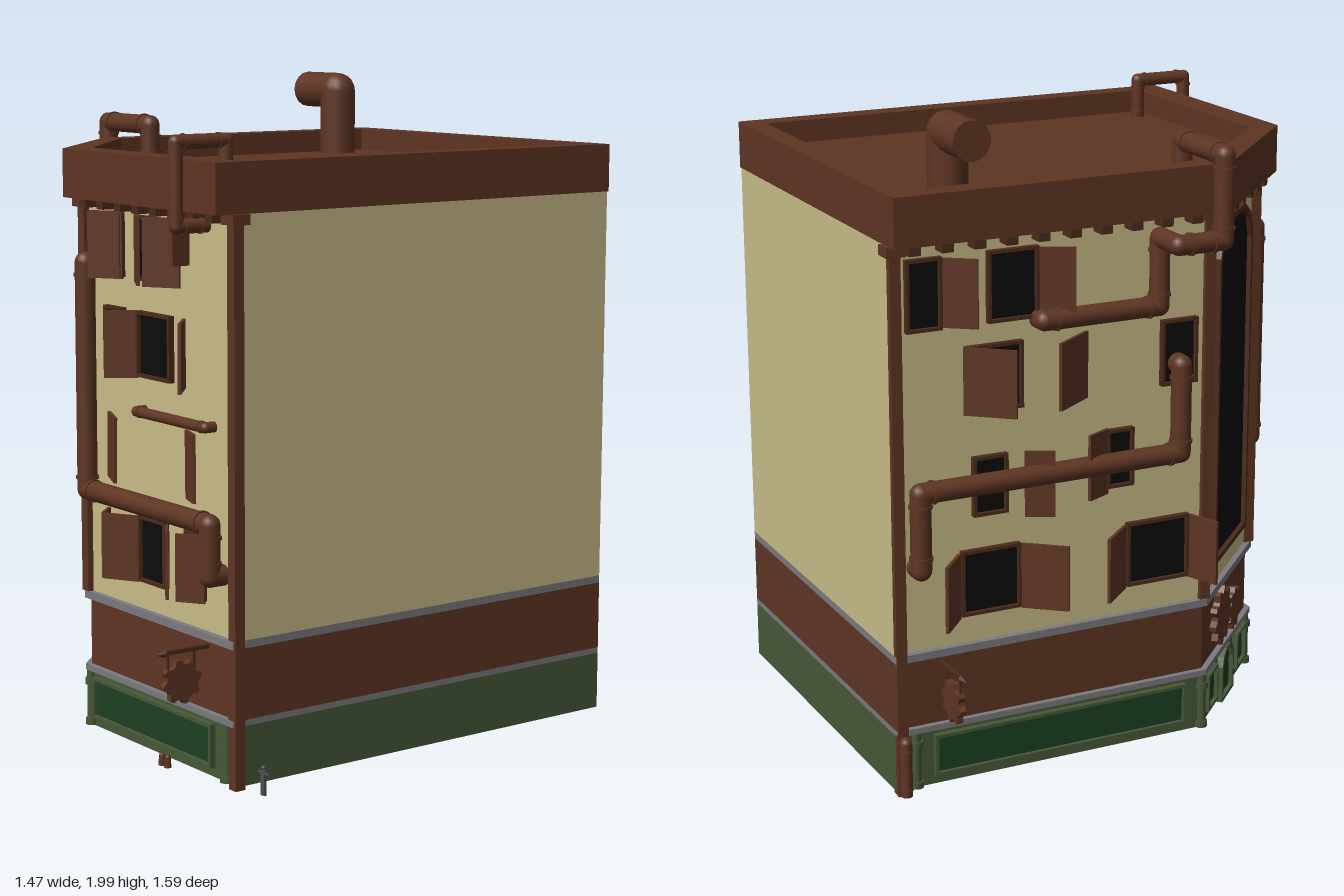
import * as THREE from 'three';

const mat = (name, color, side = THREE.FrontSide) => new THREE.MeshStandardMaterial({ name, color, side });
const both = THREE.DoubleSide;
const M = {
  plaster: mat('plaster', 0xc8bc88, both), brown: mat('brown', 0x5e3523, both), wood: mat('dark wood', 0x4c2a1b),
  green: mat('green paint', 0x475838, both), deep: mat('deep green', 0x1c4022), grey: mat('grey stone', 0x7b7b80, both),
  black: mat('black glass', 0x0c0c0c), steel: mat('steel', 0x4c5152),
};
const add = (parent, name, geo, m, x = 0, y = 0, z = 0) => {
  const mesh = new THREE.Mesh(geo, m);
  mesh.name = name;
  mesh.position.set(x, y, z);
  parent.add(mesh);
  return mesh;
};
const box = (p, name, m, x, y, z, w, h, d) => add(p, name, new THREE.BoxGeometry(w, h, d), m, x, y, z);

// Floor plan with a cut corner; o pushes the three street sides out, s pulls the plain sides in
const plan = (o = 0, s = 0) => [[0.605 - s, -0.785 + s], [0.605 - s, 0.61 + o], [-0.18 - 0.41 * o, 0.61 + o],
  [-0.555 - o, 0.235 + 0.41 * o], [-0.555 - o, -0.785 + s]];
const toShape = (pts) => new THREE.Shape(pts.map(([x, z]) => new THREE.Vector2(x, -z)));

// Open strip of wall following the plan
function wall(p, name, m, y0, y1) {
  const v = [], c = plan();
  c.forEach(([ax, az], i) => {
    const [bx, bz] = c[(i + 1) % c.length];
    v.push(ax, y0, az, bx, y1, bz, bx, y0, bz, ax, y0, az, ax, y1, az, bx, y1, bz);
  });
  const g = new THREE.BufferGeometry();
  g.setAttribute('position', new THREE.Float32BufferAttribute(v, 3));
  g.computeVertexNormals();
  add(p, name, g, m);
}

// Solid ring between two plans
function ring(p, name, m, outer, inner, y0, y1) {
  const s = toShape(outer);
  s.holes.push(toShape(inner));
  const g = new THREE.ExtrudeGeometry(s, { depth: y1 - y0, bevelEnabled: false });
  add(p, name, g.rotateX(-Math.PI / 2), m, 0, y0, 0);
}

// Pipe along points, with round elbows and collars
function pipe(p, name, r, pts) {
  const g = new THREE.Group();
  g.name = name;
  p.add(g);
  const P = pts.map((a) => new THREE.Vector3(...a)), up = new THREE.Vector3(0, 1, 0);
  const rod = (a, b, rad, part) => {
    const d = b.clone().sub(a), mid = a.clone().add(b).multiplyScalar(0.5);
    add(g, part, new THREE.CylinderGeometry(rad, rad, d.length(), 16), M.brown, mid.x, mid.y, mid.z)
      .quaternion.setFromUnitVectors(up, d.normalize());
  };
  for (let i = 0; i < P.length - 1; i++) {
    rod(P[i], P[i + 1], r, 'pipeRun');
    const d = P[i + 1].clone().sub(P[i]), len = d.length();
    d.normalize();
    if (len > 4 * r) for (const t of [r * 1.2, len - r * 1.2]) {
      rod(P[i].clone().addScaledVector(d, t - r * 0.15), P[i].clone().addScaledVector(d, t + r * 0.15), r * 1.13, 'pipeCollar');
    }
    if (i) add(g, 'pipeElbow', new THREE.SphereGeometry(r, 16, 10), M.brown, P[i].x, P[i].y, P[i].z);
  }
}

// Rectangular frame and pane set in a facade
function pane(p, name, u0, u1, v0, v1, m = M.black, frame = M.wood, t = 0.01) {
  const u = (u0 + u1) / 2, v = (v0 + v1) / 2;
  box(p, name, m, u, v, 0.004, u1 - u0, v1 - v0, 0.006);
  for (const s of [u0, u1]) box(p, name + 'Jamb', frame, s, v, 0.004, t, v1 - v0 + t, 0.03);
  for (const s of [v0, v1]) box(p, name + 'Rail', frame, u, s, 0.004, u1 - u0, t, 0.03);
}

// Open shutter from its hinge; du is its width along the wall, depth how far it swings out
function shutter(p, [u, du, v, h, depth, roll = 0]) {
  const hinge = new THREE.Group();
  hinge.name = 'shutter';
  hinge.position.set(u, v, 0.01);
  hinge.rotation.set(0, -Math.atan2(depth, du), roll);
  const w = Math.hypot(du, depth);
  box(hinge, 'shutterBoard', M.brown, w / 2, 0, 0, w, h, 0.01);
  p.add(hinge);
}

function gear(p, name, r, teeth, x, y, z, depth) {
  const s = new THREE.Shape();
  for (let i = 0; i < teeth * 4; i++) {
    const a = ((i + 0.5) / (teeth * 4)) * Math.PI * 2, q = i % 4 < 2 ? r : r * 0.8;
    s[i ? 'lineTo' : 'moveTo'](Math.cos(a) * q, Math.sin(a) * q);
  }
  return add(p, name, new THREE.ExtrudeGeometry(s, { depth, bevelEnabled: false }).translate(0, 0, -depth / 2), M.brown, x, y, z);
}

// Hanging gear sign on a spiked bracket
function sign(p, u) {
  const g = new THREE.Group();
  g.name = 'hangingSign';
  g.position.set(u, 0, 0);
  p.add(g);
  box(g, 'signBracket', M.wood, 0, 0.395, 0.08, 0.012, 0.012, 0.16);
  add(g, 'bracketTip', new THREE.ConeGeometry(0.012, 0.035, 8).rotateX(Math.PI / 2), M.wood, 0, 0.395, 0.168);
  for (const w of [0.05, 0.14]) box(g, 'signChain', M.wood, 0, 0.365, w, 0.006, 0.06, 0.006);
  gear(g, 'signGear', 0.066, 8, 0, 0.305, 0.095, 0.02).rotation.y = Math.PI / 2;
}

function facade(p, name, x, z, turn, u0, u1) {
  const g = new THREE.Group();
  g.name = name;
  g.position.set(x, 0, z);
  g.rotation.y = turn;
  p.add(g);
  const n = Math.round((u1 - u0) / 0.095);
  for (let i = 0; i <= n; i++) box(g, 'corbel', M.wood, u0 + ((u1 - u0) * i) / n, 1.637, 0.025, 0.035, 0.028, 0.05);
  return g;
}

const archShape = (w, y0, y1, c) => new THREE.Shape([[-w, y0], [w, y0], [w, y1 - c * 1.1], [w - c * 0.28, y1 - c * 0.42],
  [w - c, y1], [c - w, y1], [c * 0.28 - w, y1 - c * 0.42], [-w, y1 - c * 1.1]].map((a) => new THREE.Vector2(...a)));
function arch(p, name, w, y0, y1, c, t, m, frame) {
  const s = archShape(w, y0, y1, c);
  s.holes.push(archShape(w - t, y0 + t, y1 - t, c - t * 0.4));
  add(p, name + 'Frame', new THREE.ExtrudeGeometry(s, { depth: 0.03, bevelEnabled: false }), frame, 0, 0, -0.01);
  add(p, name, new THREE.ShapeGeometry(archShape(w - t / 2, y0 + t / 2, y1 - t / 2, c)), m, 0, 0, 0.006);
}

export function createModel() {
  const root = new THREE.Group();
  root.name = 'cornerBuilding';

  // Walls, ledges and roof
  wall(root, 'shopWall', M.green, 0.01, 0.187);
  wall(root, 'brownBand', M.brown, 0.205, 0.415);
  wall(root, 'upperWall', M.plaster, 0.438, 1.66);
  ring(root, 'lowerLedge', M.grey, plan(0.018), plan(-0.006, 0.006), 0.187, 0.205);
  ring(root, 'upperLedge', M.grey, plan(0.018), plan(-0.006, 0.006), 0.415, 0.438);
  const rim = [[0.61, -0.787], [0.61, 0.685], [-0.19, 0.685], [-0.615, 0.27], [-0.615, -0.787]];
  const well = [[0.54, -0.72], [0.54, 0.59], [-0.175, 0.59], [-0.54, 0.255], [-0.54, -0.72]];
  ring(root, 'parapet', M.brown, rim, well, 1.65, 1.795);
  add(root, 'roofDeck', new THREE.ShapeGeometry(toShape(well)).rotateX(-Math.PI / 2), M.brown, 0, 1.725, 0);

  // Corner posts
  for (const [x, z, y0, t] of [[0.594, 0.607, 0, 0.034], [-0.182, 0.612, 0.438, 0.034], [-0.553, 0.236, 0.438, 0.034], [-0.558, -0.768, 0, 0.034]]) {
    box(root, 'cornerPost', M.brown, x, (y0 + 1.65) / 2, z, t, 1.65 - y0, t);
    box(root, 'postCap', M.brown, x, 1.635, z, t + 0.025, 0.03, t + 0.025);
  }
  for (const [x, z] of [[-0.18, 0.612], [-0.555, 0.238], [0.55, 0.612], [-0.557, -0.72]]) {
    add(root, 'shopPilaster', new THREE.CylinderGeometry(0.014, 0.014, 0.175, 10), M.green, x, 0.098, z);
    for (const y of [0.022, 0.15]) add(root, 'pilasterRing', new THREE.CylinderGeometry(0.02, 0.02, 0.02, 10), M.green, x, y, z);
  }
  pipe(root, 'drainPipe', 0.018, [[-0.585, 0.005, -0.765], [-0.585, 0.17, -0.765], [-0.555, 0.17, -0.765]]);

  // Front facade
  const front = facade(root, 'frontFacade', 0, 0.61, 0, -0.12, 0.54);
  for (const [a, b, c, d] of [[-0.05, 0.028, 1.43, 1.61], [0.12, 0.32, 1.43, 1.61], [-0.058, 0.033, 1.145, 1.33],
    [0.12, 0.285, 1.145, 1.33], [0.12, 0.252, 0.53, 0.72], [0.365, 0.445, 0.53, 0.72]]) pane(front, 'window', a, b, c, d);
  [[0.035, -0.095, 1.52, 0.2, 0.06], [0.105, 0.105, 1.52, 0.2, 0.06], [0.335, -0.1, 1.52, 0.2, 0.06], [0.38, 0.005, 1.57, 0.16, 0.06],
    [0.115, -0.062, 1.235, 0.2, 0.08], [0.355, 0.095, 1.235, 0.2, 0.08], [-0.05, 0.09, 0.915, 0.2, 0.035, -0.06],
    [0.365, 0.09, 0.915, 0.2, 0.035, 0.02], [-0.055, 0.06, 0.62, 0.2, 0.06], [0.11, -0.105, 0.62, 0.2, 0.06],
    [0.255, 0.095, 0.62, 0.2, 0.06], [0.455, -0.075, 0.62, 0.2, 0.05]].forEach((a) => shutter(front, a));
  pipe(front, 'wallPipe', 0.031, [[-0.115, 1.46, 0], [-0.115, 1.46, 0.048], [-0.115, 0.77, 0.048], [0.535, 0.77, 0.048], [0.535, 0.62, 0.048], [0.535, 0.62, 0]]);
  pipe(front, 'thinPipe', 0.016, [[0.135, 1.04, 0], [0.135, 1.04, 0.03], [0.49, 1.04, 0.03], [0.49, 1.04, 0]]);
  pane(front, 'shopWindow', -0.145, 0.485, 0.045, 0.165, M.deep, M.green);
  sign(front, 0.455);

  // Left facade, measured along z
  const left = facade(root, 'leftFacade', -0.555, 0, -Math.PI / 2, -0.72, 0.17);
  for (const [a, b, c, d] of [[-0.73, -0.63, 1.4, 1.6], [-0.48, -0.33, 1.4, 1.6], [-0.55, -0.38, 1.14, 1.33], [0.08, 0.19, 1.14, 1.33],
    [-0.53, -0.43, 0.83, 1.0], [-0.1, -0.02, 0.85, 1.02], [-0.57, -0.39, 0.53, 0.72], [-0.03, 0.17, 0.53, 0.72]]) pane(left, 'window', a, b, c, d);
  [[-0.62, 0.08, 1.5, 0.2, 0.06], [-0.33, 0.1, 1.5, 0.2, 0.05], [-0.56, 0.12, 1.235, 0.2, 0.1], [-0.17, -0.13, 1.235, 0.2, 0.09],
    [-0.37, 0.08, 0.9, 0.2, 0.04], [-0.1, -0.08, 0.93, 0.2, 0.04], [-0.58, -0.08, 0.62, 0.2, 0.09], [-0.38, 0.11, 0.62, 0.2, 0.09],
    [-0.04, -0.1, 0.62, 0.2, 0.09], [0.18, 0.04, 0.62, 0.2, 0.1]].forEach((a) => shutter(left, a));
  pipe(left, 'wallPipe', 0.031, [[0.13, 1.2, 0], [0.13, 1.2, 0.036], [0.13, 0.93, 0.036], [-0.71, 0.93, 0.036], [-0.71, 0.7, 0.036], [-0.71, 0.7, 0]]);
  pane(left, 'shopWindow', -0.66, 0.17, 0.045, 0.165, M.deep, M.green);
  sign(left, -0.64);

  // Cut corner with tall window, gears and door
  const corner = facade(root, 'cornerFacade', -0.3675, 0.4225, -Math.PI / 4, -0.22, 0.22);
  arch(corner, 'tallWindow', 0.192, 0.515, 1.592, 0.1, 0.017, M.black, M.wood);
  arch(corner, 'door', 0.07, 0.01, 0.178, 0.045, 0.012, M.deep, M.green);
  for (const s of [-1, 1]) pane(corner, 'doorSidePanel', s < 0 ? -0.225 : 0.125, s < 0 ? -0.125 : 0.225, 0.05, 0.16, M.deep, M.green);
  gear(corner, 'largeGear', 0.095, 10, -0.075, 0.31, 0.006, 0.03);
  gear(corner, 'smallGear', 0.07, 9, 0.072, 0.28, 0.006, 0.03);

  // Roof pipes and chimney
  pipe(root, 'leftRoofPipe', 0.03, [[-0.46, 1.72, 0.195], [-0.46, 1.84, 0.195], [-0.707, 1.84, 0.195], [-0.707, 1.593, 0.195],
    [-0.707, 1.593, 0.05], [-0.595, 1.593, 0.05], [-0.595, 1.39, 0.05], [-0.595, 1.39, -0.32], [-0.555, 1.39, -0.32]]);
  pipe(root, 'frontRoofPipe', 0.021, [[0.46, 1.72, 0.545], [0.46, 1.845, 0.545], [0.46, 1.845, 0.715], [0.46, 1.61, 0.715], [0.46, 1.61, 0.61]]);
  pipe(root, 'chimney', 0.058, [[-0.46, 1.72, -0.555], [-0.46, 1.932, -0.555], [-0.625, 1.932, -0.555]]);

  // Street bollards and a standing person
  for (const x of [0.285, 0.315]) {
    add(root, 'bollard', new THREE.CylinderGeometry(0.009, 0.011, 0.03, 10), M.brown, x, 0.02, 0.66);
    add(root, 'bollardTop', new THREE.SphereGeometry(0.009, 10, 6), M.brown, x, 0.035, 0.66);
  }
  const person = new THREE.Group();
  person.name = 'person';
  person.position.set(0.706, 0.01, 0.595);
  root.add(person);
  add(person, 'head', new THREE.SphereGeometry(0.007, 10, 8), M.steel, 0, 0.081, 0);
  box(person, 'torso', M.steel, 0, 0.056, 0, 0.016, 0.034, 0.009);
  box(person, 'arms', M.steel, 0, 0.066, 0, 0.05, 0.006, 0.006);
  for (const s of [-1, 1]) box(person, 'leg', M.steel, s * 0.005, 0.02, 0, 0.007, 0.04, 0.008);
  return root;
}
